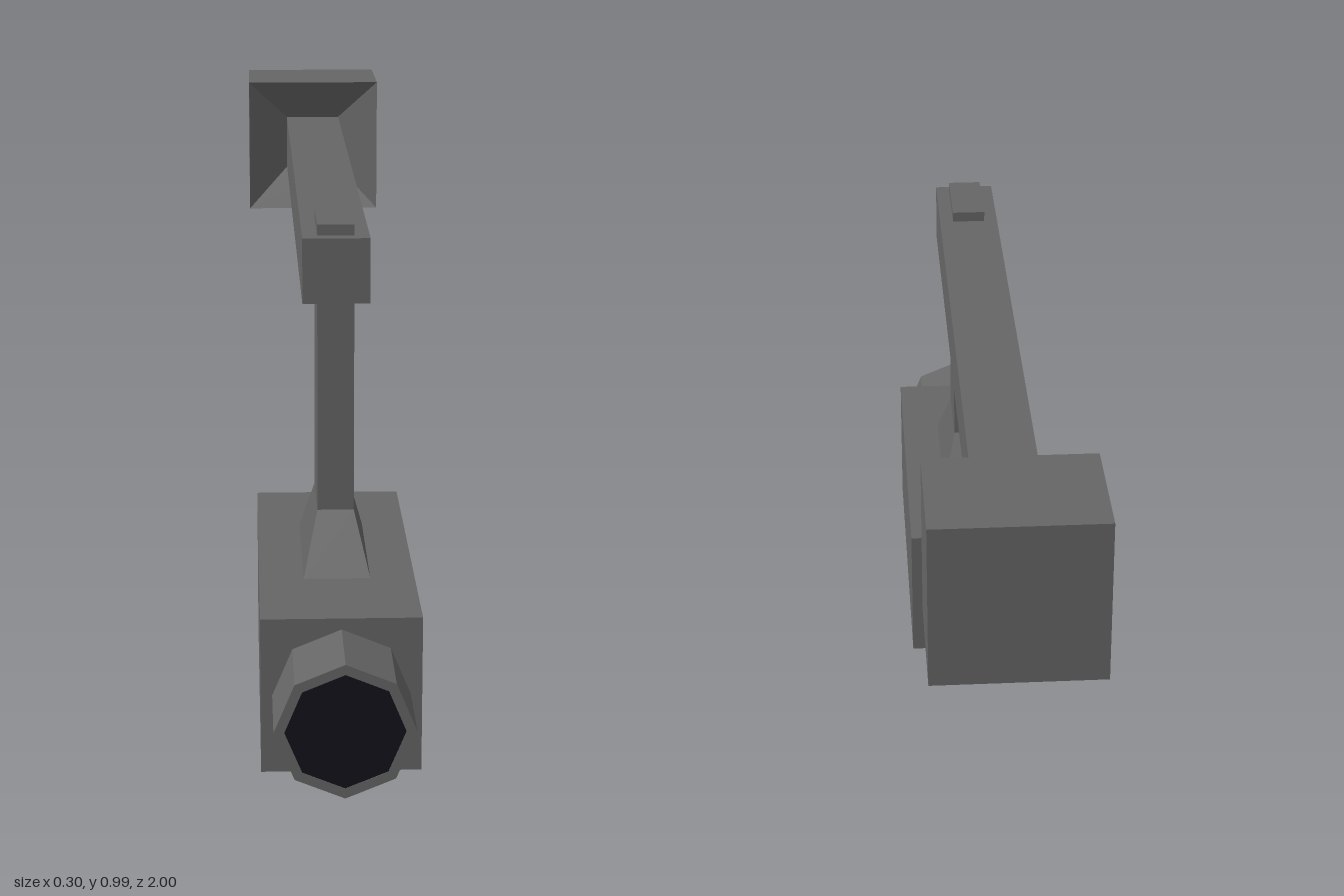
import * as THREE from 'three';

const grey = new THREE.MeshStandardMaterial({ color: 0x666666, flatShading: true });
const glassDark = new THREE.MeshStandardMaterial({ color: 0x14121c });

function part(name, geometry, material = grey) {
  const mesh = new THREE.Mesh(geometry, material);
  mesh.name = name;
  return mesh;
}

// Box given by its extents, centred on x = 0
function box(halfX, y0, y1, z0, z1) {
  return new THREE.BoxGeometry(2 * halfX, y1 - y0, z1 - z0)
    .translate(0, (y0 + y1) / 2, (z0 + z1) / 2);
}

// Skin a row of four-cornered cross-sections, with optional end caps
function loft(rings, capStart, capEnd) {
  const pos = [];
  const quad = (a, b, c, d) => pos.push(...a, ...b, ...c, ...a, ...c, ...d);
  for (let r = 0; r + 1 < rings.length; r++) {
    for (let i = 0; i < 4; i++) {
      const j = (i + 1) % 4;
      quad(rings[r][i], rings[r][j], rings[r + 1][j], rings[r + 1][i]);
    }
  }
  if (capStart) quad(...[...rings[0]].reverse());
  if (capEnd) quad(...rings[rings.length - 1]);
  const geometry = new THREE.BufferGeometry();
  geometry.setAttribute('position', new THREE.Float32BufferAttribute(pos, 3));
  geometry.computeVertexNormals();
  return geometry;
}

// Cross-sections lying flat (along y) and standing up (along z)
const flatRing = (x, z0, z1, y) => [[-x, y, z1], [x, y, z1], [x, y, z0], [-x, y, z0]];
const uprightRing = (x, y0, y1, z) => [[-x, y0, z], [x, y0, z], [x, y1, z], [-x, y1, z]];

// Octagon with a corner at the top
function octagonPoints(radius) {
  return Array.from({ length: 8 }, (_, i) => {
    const a = Math.PI / 2 + i * Math.PI / 4;
    return new THREE.Vector2(radius * Math.cos(a), radius * Math.sin(a));
  });
}

export function createModel() {
  const model = new THREE.Group();
  model.name = 'securityCamera';

  // Camera housing
  model.add(part('cameraBody', box(0.14, 0, 0.283, 0.135, 0.84)));

  // Eight-sided lens barrel with dark glass inside its rim
  const lens = new THREE.Group();
  lens.name = 'lens';
  lens.position.set(0, 0.143, 0.84);
  const rim = new THREE.Shape(octagonPoints(0.12));
  rim.holes.push(new THREE.Path(octagonPoints(0.102)));
  lens.add(part('lensBarrel', new THREE.ExtrudeGeometry(rim, { depth: 0.16, bevelEnabled: false })));
  const glass = part('lensGlass', new THREE.ShapeGeometry(new THREE.Shape(octagonPoints(0.102))), glassDark);
  glass.position.z = 0.159;
  lens.add(glass);
  model.add(lens);

  // Post with flared foot, poking through the top of the arm
  model.add(part('post', loft([
    flatRing(0.06, 0.335, 0.64, 0.283),
    flatRing(0.033, 0.405, 0.57, 0.39),
    flatRing(0.033, 0.405, 0.57, 0.917),
  ], true, true)));

  // Horizontal arm reaching back into the wall mount
  model.add(part('arm', box(0.06, 0.78, 0.897, -0.825, 0.595)));

  // Wall mount with a sloped recess around the arm
  model.add(part('wallMount', loft([
    uprightRing(0.148, 0.69, 0.985, -1),
    uprightRing(0.148, 0.69, 0.985, -0.773),
    uprightRing(0.06, 0.78, 0.897, -0.825),
  ], true, true)));

  return model;
}
